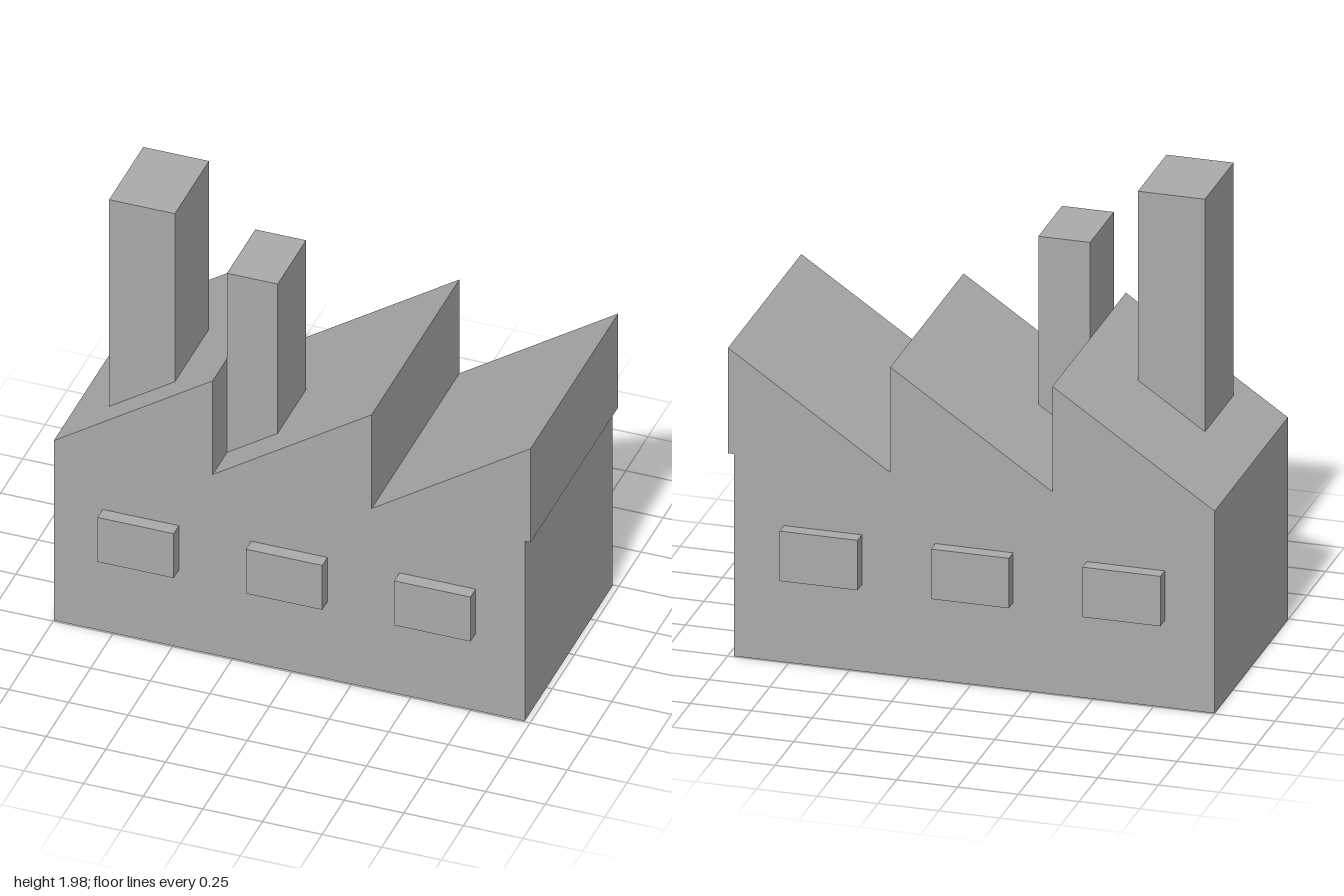
import * as THREE from 'three';

export function createModel() {
  const factory = new THREE.Group();
  factory.name = 'factory';
  const grey = new THREE.MeshStandardMaterial({ color: 0xaaaaaa });
  grey.name = 'concrete grey';

  // Box given by its minimum and maximum corners
  function addBox(name, [x0, y0, z0], [x1, y1, z1], parent = factory) {
    const mesh = new THREE.Mesh(new THREE.BoxGeometry(x1 - x0, y1 - y0, z1 - z0), grey);
    mesh.position.set((x0 + x1) / 2, (y0 + y1) / 2, (z0 + z1) / 2);
    mesh.name = name;
    parent.add(mesh);
  }

  // Hall: side profile with a sawtooth roof, extruded along z
  const eaves = 0.863, ridge = 1.313, depth = 0.988, bay = 2 / 3;
  const profile = new THREE.Shape();
  profile.moveTo(-1, 0);
  profile.lineTo(0.976, 0);
  profile.lineTo(0.976, eaves);
  profile.lineTo(1, eaves); // small overhang below the last sawtooth
  for (let i = 2; i >= 0; i--) {
    profile.lineTo(-1 + bay * (i + 1), ridge);
    profile.lineTo(-1 + bay * i, eaves);
  }
  profile.closePath();
  const hallGeometry = new THREE.ExtrudeGeometry(profile, { depth, bevelEnabled: false });
  hallGeometry.translate(0, 0, -depth / 2);
  const hall = new THREE.Mesh(hallGeometry, grey);
  hall.name = 'sawtoothHall';
  factory.add(hall);

  // Chimneys rising through the roof
  addBox('tallChimney', [-0.816, 0.87, -0.02], [-0.54, 1.98, 0.365]);
  addBox('shortChimney', [-0.334, 0.863, 0.012], [-0.121, 1.723, 0.332]);

  // Projecting windows on the front and back walls
  const windows = new THREE.Group();
  windows.name = 'windows';
  factory.add(windows);
  for (const x of [-0.635, -0.012, 0.61]) {
    addBox('frontWindow', [x - 0.16, 0.37, 0.48], [x + 0.16, 0.583, 0.553], windows);
    addBox('backWindow', [x - 0.16, 0.37, -0.553], [x + 0.16, 0.583, -0.48], windows);
  }

  return factory;
}
